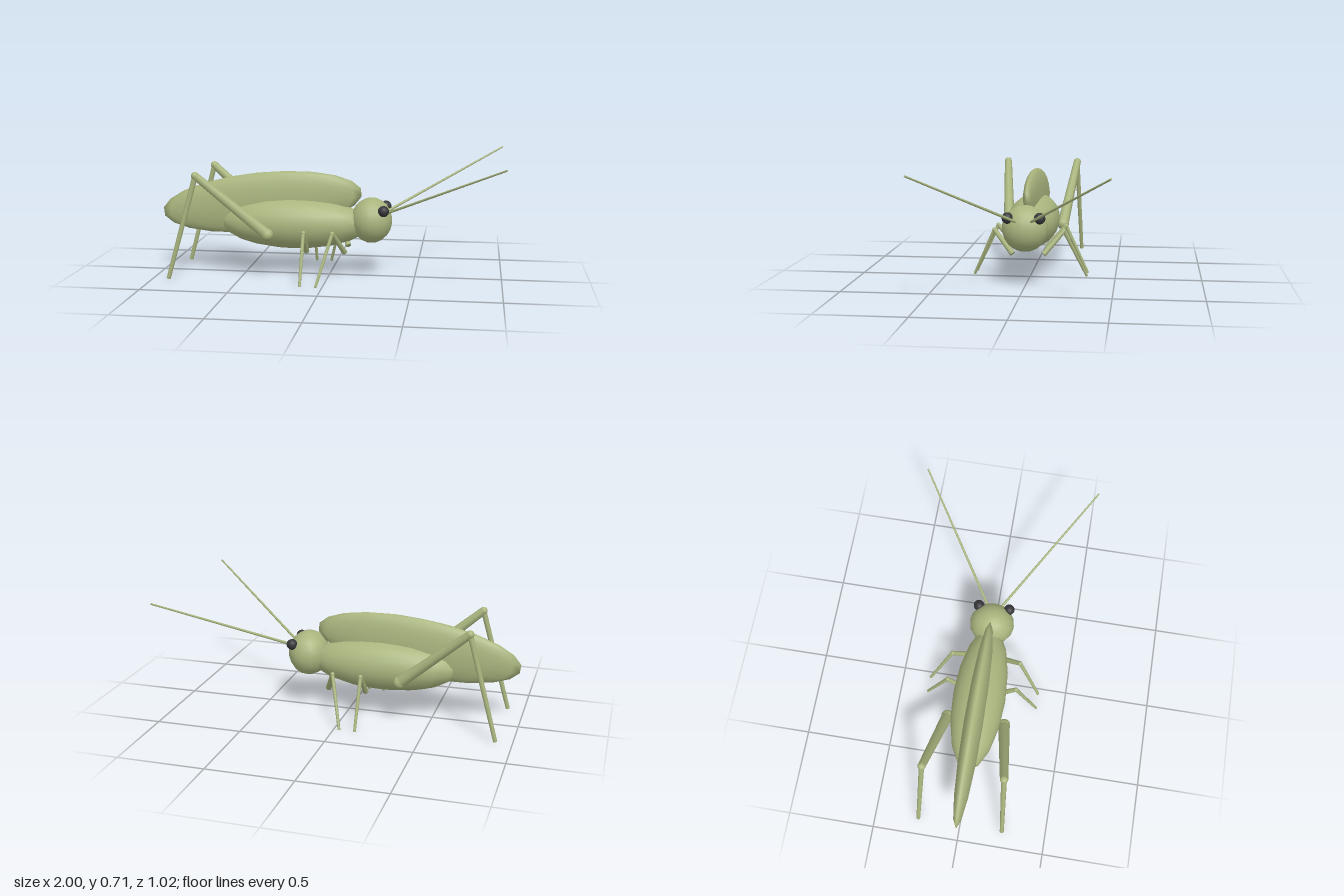
import * as THREE from 'three';

const green = new THREE.MeshStandardMaterial({ color: 0xa9b57e });
green.name = 'leaf green';
const dark = new THREE.MeshStandardMaterial({ color: 0x36363a });
dark.name = 'eye black';

// Smooth ellipsoid with a low segment count
function ellipsoid(name, material, center, radii, tilt = 0) {
  const mesh = new THREE.Mesh(new THREE.SphereGeometry(1, 16, 11), material);
  mesh.name = name;
  mesh.scale.set(...radii);
  mesh.position.set(...center);
  mesh.rotation.z = tilt;
  return mesh;
}

// Tapered rod between two points
function rod(name, from, to, r0, r1) {
  const a = new THREE.Vector3(...from);
  const b = new THREE.Vector3(...to);
  const dir = b.clone().sub(a);
  const mesh = new THREE.Mesh(new THREE.CylinderGeometry(r1, r0, dir.length(), 8), green);
  mesh.name = name;
  mesh.position.copy(a).add(b).multiplyScalar(0.5);
  mesh.quaternion.setFromUnitVectors(new THREE.Vector3(0, 1, 0), dir.normalize());
  return mesh;
}

// Leg made of an upper rod, a round knee and a lower rod
function leg(name, hip, knee, foot, r) {
  const group = new THREE.Group();
  group.name = name;
  group.add(
    rod('upperLeg', hip, knee, r[0], r[1]),
    ellipsoid('knee', green, knee, [r[1], r[1], r[1]]),
    rod('lowerLeg', knee, foot, r[2], r[3]),
  );
  return group;
}

export function createModel() {
  const model = new THREE.Group();
  model.name = 'grasshopper';

  // Body, folded wings and head
  model.add(
    ellipsoid('body', green, [-0.21, 0.305, 0], [0.44, 0.151, 0.154]),
    ellipsoid('foldedWings', green, [-0.405, 0.422, 0], [0.6, 0.175, 0.055], 0.12),
    ellipsoid('head', green, [0.246, 0.331, 0], [0.12, 0.132, 0.132]),
  );

  // Mirrored eyes, antennae and legs
  for (const s of [1, -1]) {
    model.add(
      ellipsoid('eye', dark, [0.322, 0.4, s * 0.09], [0.032, 0.032, 0.032]),
      rod('antenna', [0.335, 0.38, s * 0.038], [0.998, 0.71, s * 0.505], 0.008, 0.005),
      ellipsoid('hindHip', green, [-0.34, 0.262, s * 0.167], [0.036, 0.036, 0.036]),
      leg('hindLeg', [-0.34, 0.262, s * 0.167], [-0.74, 0.603, s * 0.225],
        [-0.906, 0.004, s * 0.248], [0.034, 0.023, 0.016, 0.012]),
      leg('middleLeg', [-0.123, 0.155, s * 0.09], [-0.123, 0.285, s * 0.203],
        [-0.125, 0.004, s * 0.334], [0.017, 0.013, 0.011, 0.008]),
      leg('frontLeg', [0.1, 0.155, s * 0.09], [0.042, 0.285, s * 0.203],
        [-0.035, 0.004, s * 0.334], [0.017, 0.013, 0.011, 0.008]),
    );
  }
  return model;
}
